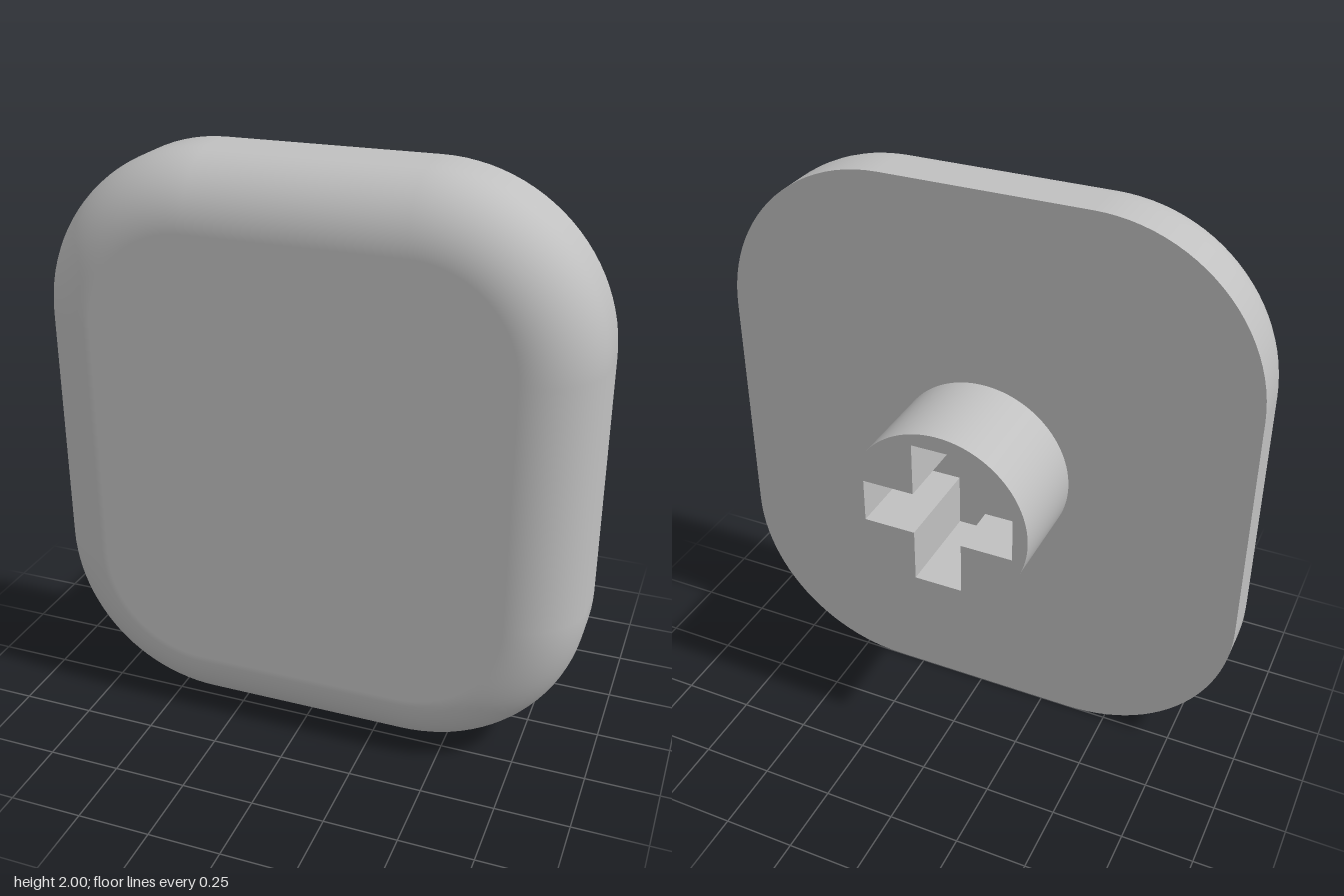
import * as THREE from 'three';
import { toCreasedNormals } from 'three/addons/utils/BufferGeometryUtils.js';

const HALF_W = 0.94, HALF_H = 1, CORNER = 0.58; // plate outline
const DEPTH = 0.35, FILLET = 0.23;              // plate thickness, front edge rounding
const CORNER_STEPS = 24, FILLET_STEPS = 16;

// Rounded-rectangle outline, counter-clockwise, pulled in by an inset
function outline(inset) {
  const pts = [];
  [[1, 1], [-1, 1], [-1, -1], [1, -1]].forEach(([sx, sy], c) => {
    for (let i = 0; i <= CORNER_STEPS; i++) {
      const a = (c + i / CORNER_STEPS) * Math.PI / 2;
      const nx = Math.cos(a), ny = Math.sin(a), r = CORNER - inset;
      pts.push({ x: sx * (HALF_W - CORNER) + nx * r, y: sy * (HALF_H - CORNER) + ny * r, nx, ny });
    }
  });
  return pts;
}

// Straight rim that rolls over into the front face
function rimGeometry() {
  const rings = [{ z: 0, phi: 0 }];
  for (let j = 0; j <= FILLET_STEPS; j++) {
    const phi = j / FILLET_STEPS * Math.PI / 2;
    rings.push({ z: DEPTH - FILLET + FILLET * Math.sin(phi), phi });
  }
  const pos = [], nor = [], idx = [];
  const n = 4 * (CORNER_STEPS + 1);
  rings.forEach(({ z, phi }, j) => {
    const c = Math.cos(phi), s = Math.sin(phi);
    outline(FILLET * (1 - c)).forEach((p, i) => {
      pos.push(p.x, p.y, z);
      nor.push(p.nx * c, p.ny * c, s);
      if (j < rings.length - 1) {
        const a = j * n + i, b = j * n + (i + 1) % n;
        idx.push(a, b, b + n, a, b + n, a + n);
      }
    });
  });
  const g = new THREE.BufferGeometry();
  g.setAttribute('position', new THREE.Float32BufferAttribute(pos, 3));
  g.setAttribute('normal', new THREE.Float32BufferAttribute(nor, 3));
  g.setIndex(idx);
  return g;
}

function faceGeometry(inset) {
  return new THREE.ShapeGeometry(new THREE.Shape(outline(inset).map(p => new THREE.Vector2(p.x, p.y))));
}

// Round post with a plus-shaped socket
function stemGeometry() {
  const shape = new THREE.Shape().absarc(0, 0, 0.32, 0, Math.PI * 2, false);
  const arm = 0.267, tx = 0.085, ty = 0.078;
  const cross = [
    [tx, ty], [tx, arm], [-tx, arm], [-tx, ty], [-arm, ty], [-arm, -ty],
    [-tx, -ty], [-tx, -arm], [tx, -arm], [tx, -ty], [arm, -ty], [arm, ty],
  ];
  shape.holes.push(new THREE.Path(cross.map(([x, y]) => new THREE.Vector2(x, y)).reverse()));
  const g = new THREE.ExtrudeGeometry(shape, { depth: 0.35, bevelEnabled: false, curveSegments: 72 });
  return toCreasedNormals(g.translate(0, 0, -0.35), 0.5);
}

export function createModel() {
  const grey = new THREE.MeshStandardMaterial({ color: 0xc0c0c0 });
  grey.name = 'light grey plastic';

  const model = new THREE.Group();
  model.name = 'keycap';
  const add = (name, geometry) => {
    const mesh = new THREE.Mesh(geometry, grey);
    mesh.name = name;
    mesh.position.y = HALF_H;
    model.add(mesh);
    return mesh;
  };

  add('capRim', rimGeometry());
  add('capFrontFace', faceGeometry(FILLET).translate(0, 0, DEPTH));
  add('capBackFace', faceGeometry(0).rotateY(Math.PI));
  add('stem', stemGeometry());
  return model;
}
